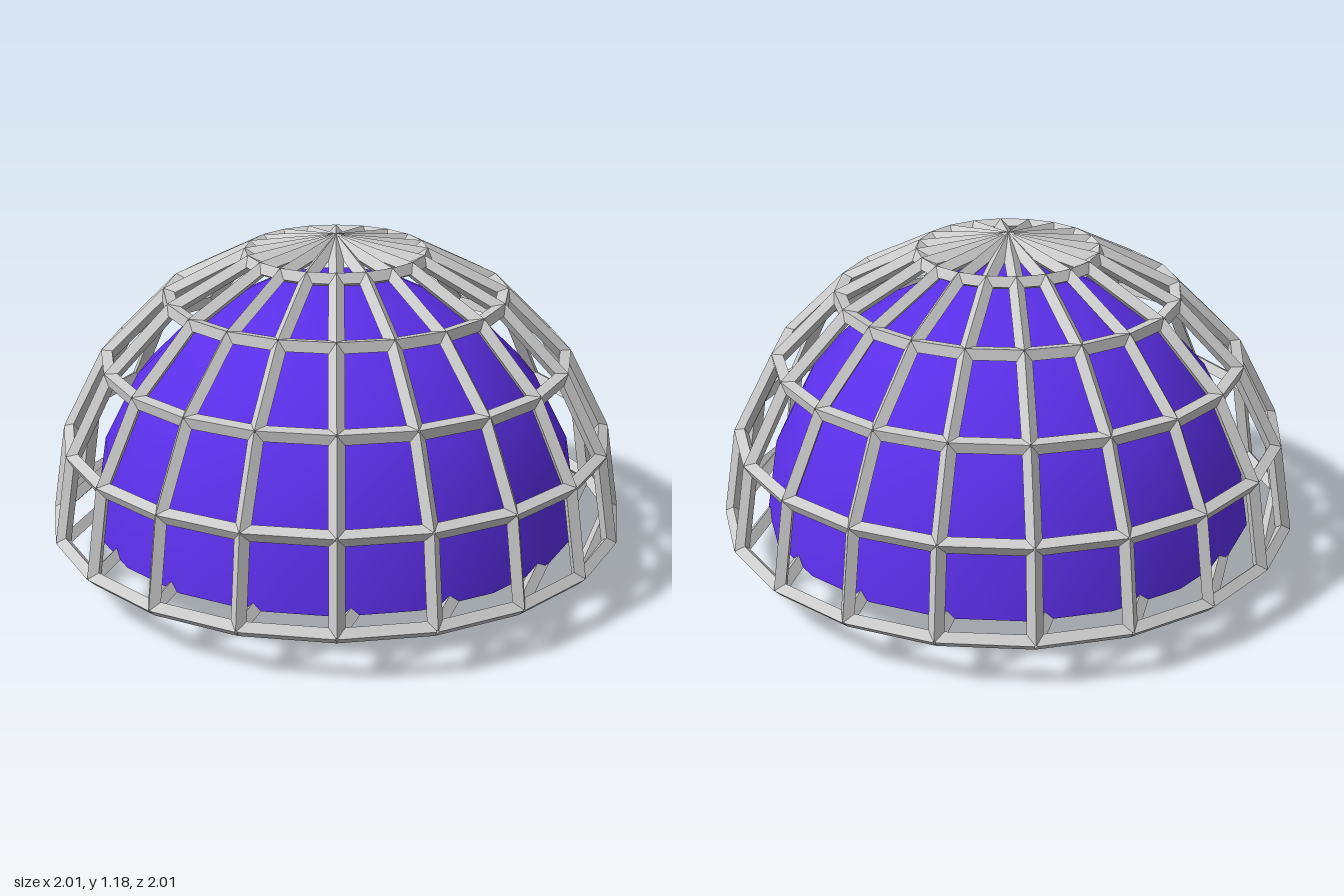
import * as THREE from 'three';
import { mergeGeometries } from 'three/addons/utils/BufferGeometryUtils.js';

const SIDES = 20, BASE_Y = 0.17, CAGE_R = 0.98, BODY_R = 0.855, BAR_R = 0.026;
const HOLE_R = 0.47, HOLE_TOP = 0.325;

// Point on the cage: ring 0 is the apex, ring 5 the base
function cagePoint(ring, i) {
  const polar = ring * Math.PI / 10, a = i * 2 * Math.PI / SIDES;
  const r = CAGE_R * Math.sin(polar);
  return new THREE.Vector3(r * Math.cos(a), BASE_Y + CAGE_R * Math.cos(polar), -r * Math.sin(a));
}

// Square bar from a to b with one edge turned outward
function bar(a, b) {
  const along = b.clone().sub(a);
  const geo = new THREE.CylinderGeometry(BAR_R, BAR_R, along.length(), 4);
  const mid = a.clone().add(b).multiplyScalar(0.5);
  const out = mid.clone().setY(mid.y - BASE_Y);
  if (out.length() < 0.01) out.set(0, 1, 0);
  along.normalize();
  out.addScaledVector(along, -out.dot(along)).normalize();
  const side = along.clone().cross(out);
  geo.applyMatrix4(new THREE.Matrix4().makeBasis(side, along, out).setPosition(mid));
  return geo;
}

function lathe(points) {
  return new THREE.LatheGeometry(points.map(([r, y]) => new THREE.Vector2(r, y)), SIDES);
}

export function createModel() {
  const model = new THREE.Group();
  model.name = 'cagedDome';
  const add = (parent, name, geo, mat) => {
    const mesh = new THREE.Mesh(geo, mat);
    mesh.name = name;
    parent.add(mesh);
  };
  const grey = new THREE.MeshStandardMaterial({ color: 0xcccccc, flatShading: true });
  const purple = new THREE.MeshStandardMaterial({ color: 0x5a2fe8 });
  const purpleFlat = new THREE.MeshStandardMaterial({ color: 0x5a2fe8, flatShading: true });

  // Solid dome with a sloping underside and a round recess
  const body = new THREE.Group();
  body.name = 'body';
  model.add(body);
  const arc = [];
  for (let k = 5; k >= 0; k--) {
    const t = k * Math.PI / 10;
    arc.push([k ? BODY_R * Math.sin(t) : 0, BASE_Y + BODY_R * Math.cos(t)]);
  }
  add(body, 'domeShell', lathe(arc), purple);
  add(body, 'underside', lathe([[HOLE_R, 0], [BODY_R, BASE_Y]]), purple);
  add(body, 'recessWall', lathe([[HOLE_R, HOLE_TOP], [HOLE_R, 0]]), purpleFlat);
  add(body, 'recessCeiling', lathe([[0, HOLE_TOP], [HOLE_R, HOLE_TOP]]), purpleFlat);

  // Cage of meridian ribs and hoops
  const cage = new THREE.Group();
  cage.name = 'cage';
  model.add(cage);
  const ribs = [], hoops = [];
  for (let ring = 1; ring <= 5; ring++) {
    for (let i = 0; i < SIDES; i++) {
      ribs.push(bar(cagePoint(ring, i), cagePoint(ring - 1, i)));
      hoops.push(bar(cagePoint(ring, i), cagePoint(ring, i + 1)));
    }
  }
  add(cage, 'ribs', mergeGeometries(ribs), grey);
  add(cage, 'hoops', mergeGeometries(hoops), grey);

  // Parallel cross bars through the base of the cage
  const crossBars = [];
  for (let i = -3; i <= 5; i++) crossBars.push(bar(cagePoint(5, i), cagePoint(5, 12 - i)));
  add(cage, 'crossBars', mergeGeometries(crossBars), grey);

  return model;
}
